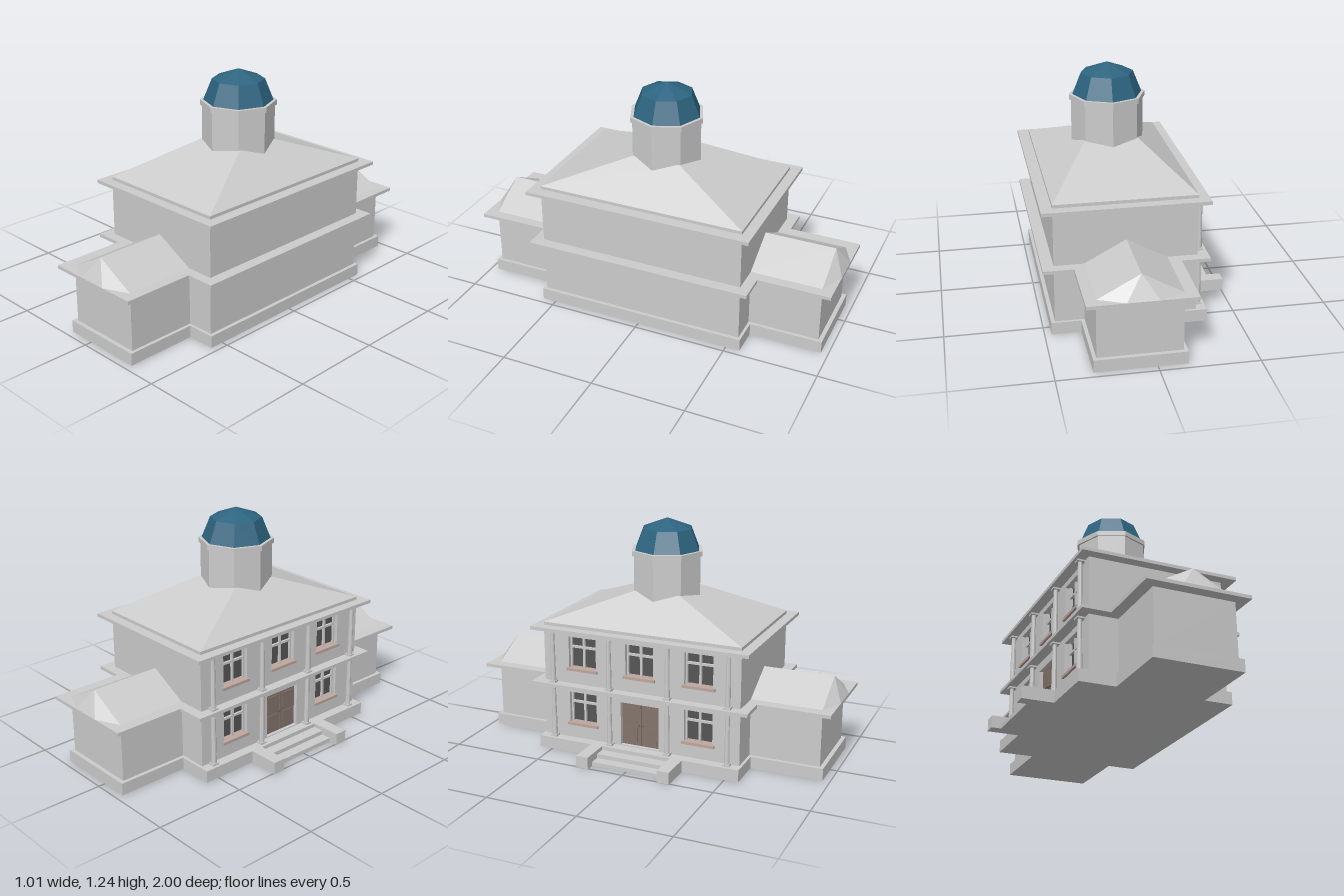
import * as THREE from 'three';
import { ConvexGeometry } from 'three/addons/geometries/ConvexGeometry.js';

const mat = (color) => new THREE.MeshStandardMaterial({ color, flatShading: true });
const stone = mat(0xcccccc), blue = mat(0x2d6480), wood = mat(0x84746c), sillMat = mat(0xbda79d), dark = mat(0x555555);
const CX = 0.08;      // centre line of the building and dome
const FRONT = -0.285; // entrance wall plane, facing -x

export function createModel() {
  const root = new THREE.Group();

  function add(name, geo, material = stone, parent = root) {
    const mesh = new THREE.Mesh(geo, material);
    mesh.name = name;
    parent.add(mesh);
    return mesh;
  }
  // Box given by its limits on each axis
  function box(name, x0, x1, y0, y1, z0, z1, material, parent) {
    const g = new THREE.BoxGeometry(x1 - x0, y1 - y0, z1 - z0);
    g.translate((x0 + x1) / 2, (y0 + y1) / 2, (z0 + z1) / 2);
    return add(name, g, material, parent);
  }
  const hull = (name, pts) =>
    add(name, new ConvexGeometry(pts.map((p) => new THREE.Vector3(...p))));

  // Main block: plinth, walls, two cornices
  box('plinth', -0.34, 0.465, 0, 0.065, -0.575, 0.575);
  box('mainWalls', FRONT + 0.05, 0.445, 0.065, 0.667, -0.56, 0.56);
  box('middleCornice', -0.34, 0.505, 0.357, 0.375, -0.615, 0.615);
  box('upperCornice', -0.34, 0.505, 0.665, 0.683, -0.615, 0.615);

  // Hipped roof cut off under the drum, with a low upright edge
  const roof = [];
  for (const sx of [-1, 1]) for (const sz of [-1, 1]) {
    roof.push([CX + sx * 0.365, 0.68, sz * 0.56], [CX + sx * 0.365, 0.7, sz * 0.56]);
    roof.push([CX + sx * 0.14, 0.862, sz * 0.13]);
  }
  hull('mainRoof', roof);

  // Matching end wings
  for (const s of [-1, 1]) {
    const zBox = (name, x0, x1, y0, y1, a, b) =>
      box(name, x0, x1, y0, y1, Math.min(s * a, s * b), Math.max(s * a, s * b));
    zBox('wingPlinth', -0.15, 0.313, 0, 0.065, 0.5, 0.962);
    zBox('wingWalls', -0.13, 0.295, 0.065, 0.36, 0.5, 0.94);
    zBox('wingCornice', -0.19, 0.35, 0.357, 0.375, 0.55, 1);
    hull('wingRoof', [
      [-0.13, 0.374, s * 0.55], [0.295, 0.374, s * 0.55], [CX, 0.49, s * 0.55],
      [-0.13, 0.374, s * 0.94], [0.295, 0.374, s * 0.94], [CX, 0.49, s * 0.94],
      [0, 0.374, s], [0.16, 0.374, s],
    ]);
  }

  // Octagonal drum, its cornice and the dome
  function octagon(name, r, y0, y1) {
    add(name, new THREE.CylinderGeometry(r, r, y1 - y0, 8)).position.set(CX, (y0 + y1) / 2, 0);
  }
  octagon('drum', 0.19, 0.75, 1.055);
  octagon('drumCornice', 0.2, 1.05, 1.077);
  const profile = [[0.183, 1.075], [0.137, 1.19], [0, 1.243]].map((p) => new THREE.Vector2(...p));
  add('dome', new THREE.LatheGeometry(profile, 8), blue).position.x = CX;

  // Entrance wall with window and door openings
  const BAY = 0.333;
  const windows = [];
  for (const floor of [0.15, 0.46]) for (const bay of [-1, 0, 1]) {
    if (floor > 0.2 || bay !== 0) windows.push([bay * BAY, floor]);
  }
  const W = 0.08, H = 0.175, DOOR_W = 0.11, DOOR_TOP = 0.31;
  const rect = (Type, a, b, c, d) => {
    const path = new Type();
    path.moveTo(a, c).lineTo(b, c).lineTo(b, d).lineTo(a, d).closePath();
    return path;
  };
  const wall = rect(THREE.Shape, -0.56, 0.56, 0.065, 0.667);
  for (const [z, y] of windows) wall.holes.push(rect(THREE.Path, z - W, z + W, y, y + H));
  wall.holes.push(rect(THREE.Path, -DOOR_W, DOOR_W, 0.07, DOOR_TOP));
  const wallGeo = new THREE.ExtrudeGeometry(wall, { depth: 0.05, bevelEnabled: false });
  wallGeo.rotateY(-Math.PI / 2).translate(FRONT + 0.05, 0, 0);
  add('entranceWall', wallGeo);

  // Windows: dark pane, frame, glazing bars and sill
  for (const [z, y] of windows) {
    const g = new THREE.Group();
    g.name = 'window';
    root.add(g);
    const x = FRONT + 0.02;
    box('pane', x + 0.02, x + 0.029, y, y + H, z - W, z + W, dark, g);
    box('uprightBar', x, x + 0.012, y, y + H, z - 0.006, z + 0.006, stone, g);
    box('crossBar', x, x + 0.012, y + 0.11, y + 0.122, z - W, z + W, stone, g);
    for (const s of [-1, 1]) {
      const e = z + s * (W - 0.005);
      box('frameSide', x, x + 0.012, y, y + H, e - 0.005, e + 0.005, stone, g);
    }
    box('sill', FRONT - 0.012, FRONT + 0.045, y - 0.012, y + 0.003, z - W - 0.01, z + W + 0.01, sillMat, g);
  }

  // Double door with raised panels and handles
  for (const s of [-1, 1]) {
    const z = s * DOOR_W / 2;
    const x = FRONT + 0.02;
    box('doorLeaf', x, x + 0.02, 0.065, DOOR_TOP, z - 0.053, z + 0.053, wood);
    for (const y of [0.09, 0.2]) {
      box('doorPanel', x - 0.004, x + 0.004, y, y + 0.085, z - 0.035, z + 0.035, wood);
    }
    const handle = add('doorHandle', new THREE.SphereGeometry(0.005, 8, 6), dark);
    handle.position.set(x - 0.006, 0.188, s * 0.012);
  }

  // Columns on both floors, with base and capital
  for (const [y0, y1] of [[0.065, 0.358], [0.375, 0.666]]) {
    for (let i = 0; i < 4; i++) {
      const g = new THREE.Group();
      g.name = 'column';
      g.position.set(-0.306, y0, (i - 1.5) * BAY);
      root.add(g);
      const h = y1 - y0;
      add('shaft', new THREE.CylinderGeometry(0.011, 0.015, h, 10), stone, g).position.y = h / 2;
      box('base', -0.018, 0.018, 0, 0.01, -0.018, 0.018, stone, g);
      box('capital', -0.02, 0.02, h - 0.01, h, -0.02, 0.02, stone, g);
    }
  }

  // Entrance steps between two side blocks
  for (const s of [-1, 1]) {
    const z = s * 0.23;
    box('stepSideBlock', -0.507, -0.335, 0, 0.065, z - 0.034, z + 0.034);
  }
  box('lowerStep', -0.457, -0.335, 0, 0.022, -0.2, 0.2);
  box('upperStep', -0.4, -0.335, 0, 0.044, -0.2, 0.2);

  return root;
}
